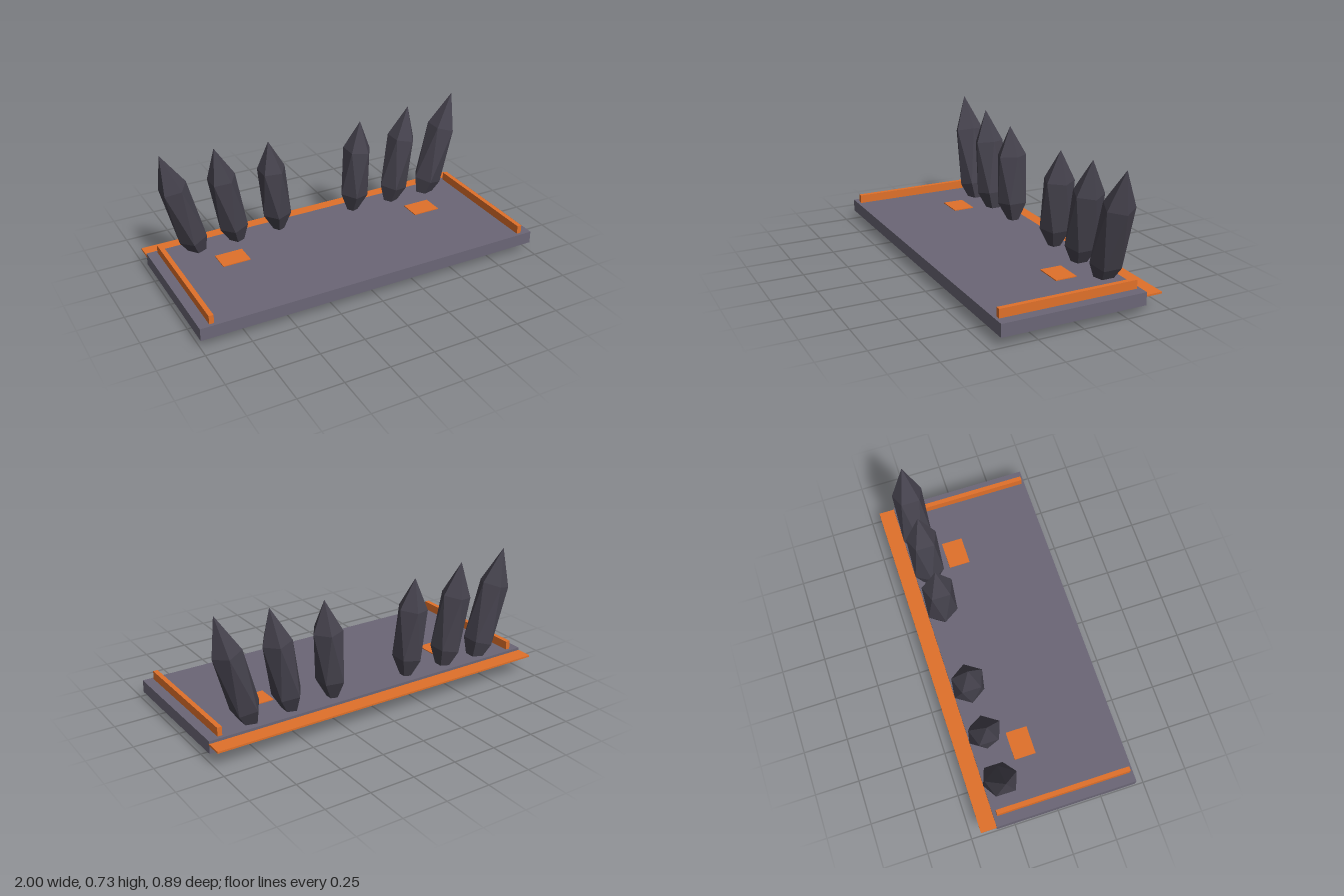
import * as THREE from 'three';

const material = (color) => new THREE.MeshStandardMaterial({ color, flatShading: true });

export function createModel() {
  const model = new THREE.Group();
  const deckMat = material(0x6b6676);
  const spikeMat = material(0x45424d);
  const orangeMat = material(0xe0702a);

  // box given by its extents on each axis
  const box = (name, mat, [x0, x1], [y0, y1], [z0, z1]) => {
    const mesh = new THREE.Mesh(new THREE.BoxGeometry(x1 - x0, y1 - y0, z1 - z0), mat);
    mesh.position.set((x0 + x1) / 2, (y0 + y1) / 2, (z0 + z1) / 2);
    mesh.name = name;
    model.add(mesh);
  };

  // base slab and the thin strip along its back edge
  box('deck', deckMat, [-1, 1], [0.055, 0.125], [-0.355, 0.445]);
  box('backStrip', orangeMat, [-1, 1], [0.1, 0.11], [-0.445, -0.345]);

  // icosahedron turned so one corner points straight up
  const crystal = new THREE.IcosahedronGeometry(1, 0);
  crystal.rotateZ(-Math.atan(2 / (1 + Math.sqrt(5))));

  // x distance, half length and outward lean in degrees
  const spikes = [
    [0.26, 0.31, 5],
    [0.541, 0.343, 10.5],
    [0.801, 0.378, 16],
  ];

  for (const [side, label] of [[1, 'left'], [-1, 'right']]) {
    // side rail and floor pad
    const span = (a, b) => (side > 0 ? [a, b] : [-b, -a]);
    box(label + 'Rail', orangeMat, span(0.918, 0.944), [0.125, 0.173], [-0.335, 0.427]);
    box(label + 'Pad', orangeMat, span(0.523, 0.682), [0.12, 0.13], [-0.148, -0.027]);

    // row of leaning spikes, their lower tips passing through the deck
    spikes.forEach(([x, halfLength, lean], i) => {
      const spike = new THREE.Mesh(crystal, spikeMat);
      spike.scale.set(0.09, halfLength, 0.1);
      spike.rotation.z = -side * THREE.MathUtils.degToRad(lean);
      spike.position.set(side * x, 0.367, -0.275);
      spike.name = label + 'Spike' + (i + 1);
      model.add(spike);
    });
  }
  return model;
}
